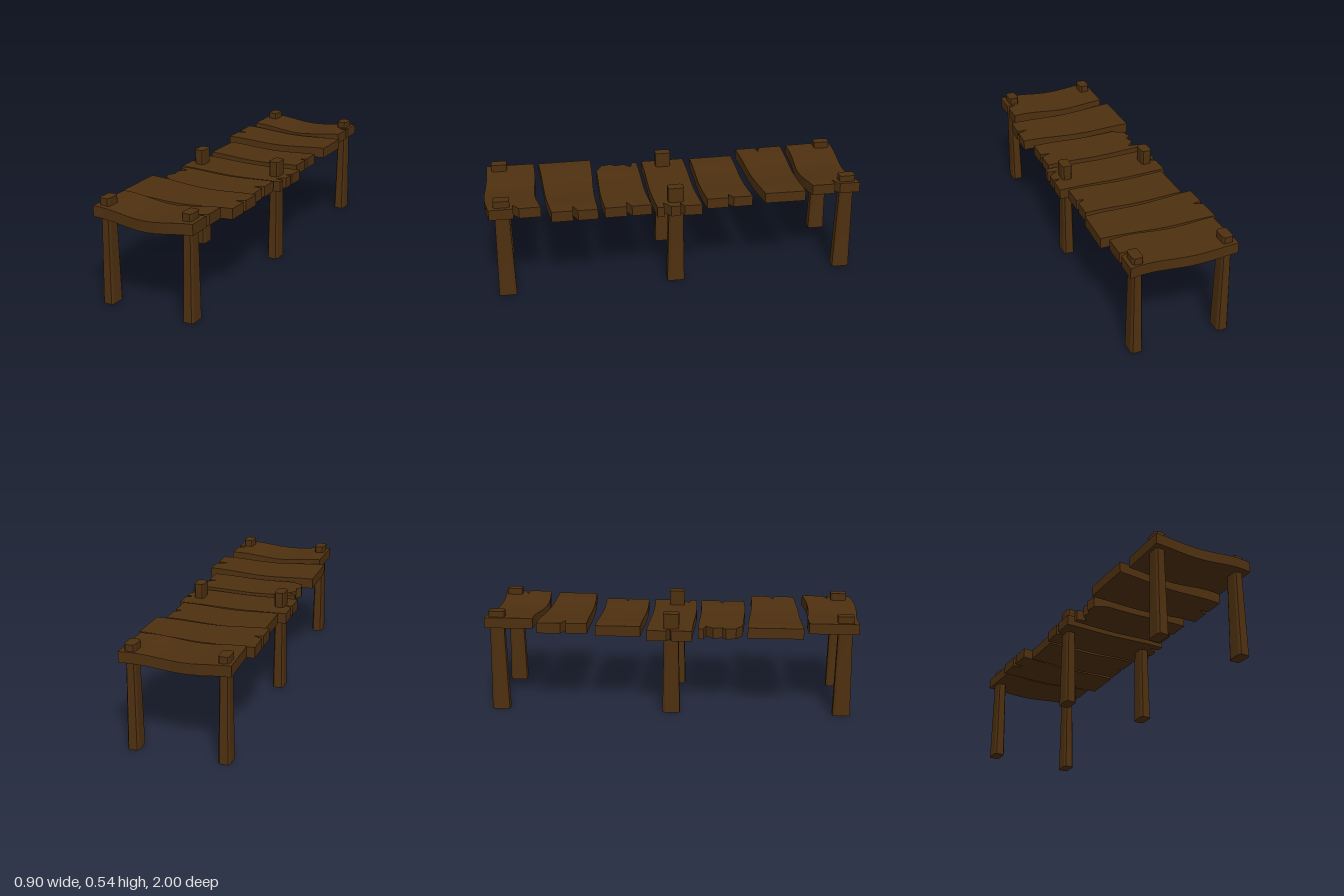
import * as THREE from 'three';
import { toCreasedNormals } from 'three/addons/utils/BufferGeometryUtils.js';

const wood = new THREE.MeshStandardMaterial({ color: 0x4e3010 });
wood.name = 'dark wood';

const lerp = THREE.MathUtils.lerp;

// Inset of a plank end at t, from a list of [t, inset] points
function insetAt(list, t) {
  let a = [0, 0];
  for (const b of [...list, [1, 0]]) {
    if (t <= b[0]) return b[0] === a[0] ? b[1] : lerp(a[1], b[1], (t - a[0]) / (b[0] - a[0]));
    a = b;
  }
  return 0;
}

// Plank: a box bent to four plan corners, with notched ends, a sag and a wavy edge
function plank({ lb, rb, rf, lf, y, left = [], right = [], sag = 0.012, wave = 0.005 }) {
  const ts = [...new Set([0, 0.25, 0.75, 1, ...left.map(p => p[0]), ...right.map(p => p[0])])].sort((a, b) => a - b);
  const n = ts.length;
  const geo = new THREE.BoxGeometry(1, 1, 1, 14, 1, n - 1);
  const p = geo.attributes.position;
  for (let i = 0; i < p.count; i++) {
    const t = ts[Math.round((p.getZ(i) + 0.5) * (n - 1))];
    const s = p.getX(i) + 0.5;
    const lx = lerp(lb[0], lf[0], t), lz = lerp(lb[1], lf[1], t);
    const rx = lerp(rb[0], rf[0], t), rz = lerp(rb[1], rf[1], t);
    const len = Math.hypot(rx - lx, rz - lz);
    const s0 = insetAt(left, t) / len, s1 = 1 - insetAt(right, t) / len;
    const u = lerp(s0, s1, s);
    const dip = Math.sin(Math.PI * u) ** 2;
    p.setXYZ(i,
      lerp(lx, rx, u),
      y + p.getY(i) * 0.055 - sag * dip,
      lerp(lz, rz, u) + wave * Math.sin(Math.PI * u) - wave * 0.6 * Math.sin(2 * Math.PI * u));
  }
  const mesh = new THREE.Mesh(toCreasedNormals(geo, 0.5), wood);
  mesh.name = 'plank';
  return mesh;
}

// Post: a chamfered rectangular column, narrowing upward to a wider head
function post(x, z) {
  const levels = [[0, 1.06], [0.43, 0.86], [0.48, 0.96], [0.54, 0.96]];
  const geo = new THREE.CylinderGeometry(1, 1, 3, 8, 3);
  geo.rotateY(Math.PI / 8);
  const p = geo.attributes.position;
  const square = v => Math.abs(v) < 0.1 ? 0 : Math.sign(v) * (Math.abs(v) > 0.6 ? 1 : 0.72);
  for (let i = 0; i < p.count; i++) {
    const [h, k] = levels[Math.round(p.getY(i) + 1.5)];
    p.setXYZ(i, square(p.getX(i)) * 0.028 * k, h, square(p.getZ(i)) * 0.043 * k);
  }
  const mesh = new THREE.Mesh(toCreasedNormals(geo, 0.5), wood);
  mesh.name = 'post';
  mesh.position.set(x, 0, z);
  mesh.rotation.y = 0.19;
  return mesh;
}

// Single split near the middle of a plank end
const split = (t, d) => [[t - 0.03, 0], [t + 0.05, d], [t + 0.08, 0]];

export function createModel() {
  const group = new THREE.Group();
  group.name = 'footbridge';

  // Deck, from back to front
  const deck = new THREE.Group();
  deck.name = 'deck';
  const planks = [
    { lb: [-0.455, -0.895], rb: [0.085, -1], rf: [0.13, -0.75], lf: [-0.4, -0.65], y: 0.481,
      right: split(0.45, 0.055), sag: 0.02, wave: 0.016 },
    { lb: [-0.425, -0.62], rb: [0.165, -0.71], rf: [0.2, -0.5], lf: [-0.37, -0.365], y: 0.466,
      left: split(0.5, 0.05), sag: 0.012 },
    { lb: [-0.33, -0.335], rb: [0.185, -0.435], rf: [0.23, -0.2], lf: [-0.285, -0.105], y: 0.445,
      right: split(0.45, 0.04), sag: 0.01 },
    { lb: [-0.31, -0.065], rb: [0.27, -0.175], rf: [0.31, 0.055], lf: [-0.265, 0.165], y: 0.434,
      left: split(0.46, 0.035),
      right: [[0.39, 0], [0.46, 0.04], [0.48, 0], [0.69, 0], [0.82, 0.05], [0.85, 0]], sag: 0.007 },
    { lb: [-0.235, 0.19], rb: [0.29, 0.085], rf: [0.335, 0.32], lf: [-0.19, 0.415], y: 0.441,
      left: [[0.12, 0], [0.17, 0.05], [0.33, 0.012], [0.54, 0.022], [0.62, 0], [0.85, 0.01], [1, 0.07]],
      right: split(0.45, 0.05), sag: 0.008 },
    { lb: [-0.22, 0.445], rb: [0.385, 0.35], rf: [0.425, 0.58], lf: [-0.165, 0.725], y: 0.46,
      right: split(0.46, 0.055), sag: 0.014 },
    { lb: [-0.125, 0.745], rb: [0.4, 0.635], rf: [0.45, 0.89], lf: [-0.08, 0.995], y: 0.478,
      right: split(0.45, 0.045), sag: 0.022, wave: 0.014 },
  ];
  planks.forEach(spec => deck.add(plank(spec)));
  group.add(deck);

  // Three pairs of posts
  const posts = new THREE.Group();
  posts.name = 'posts';
  for (const [x, z] of [[-0.4, -0.845], [0.05, -0.93], [-0.225, 0.045], [0.22, -0.035], [-0.05, 0.92], [0.39, 0.835]]) {
    posts.add(post(x, z));
  }
  group.add(posts);
  return group;
}
